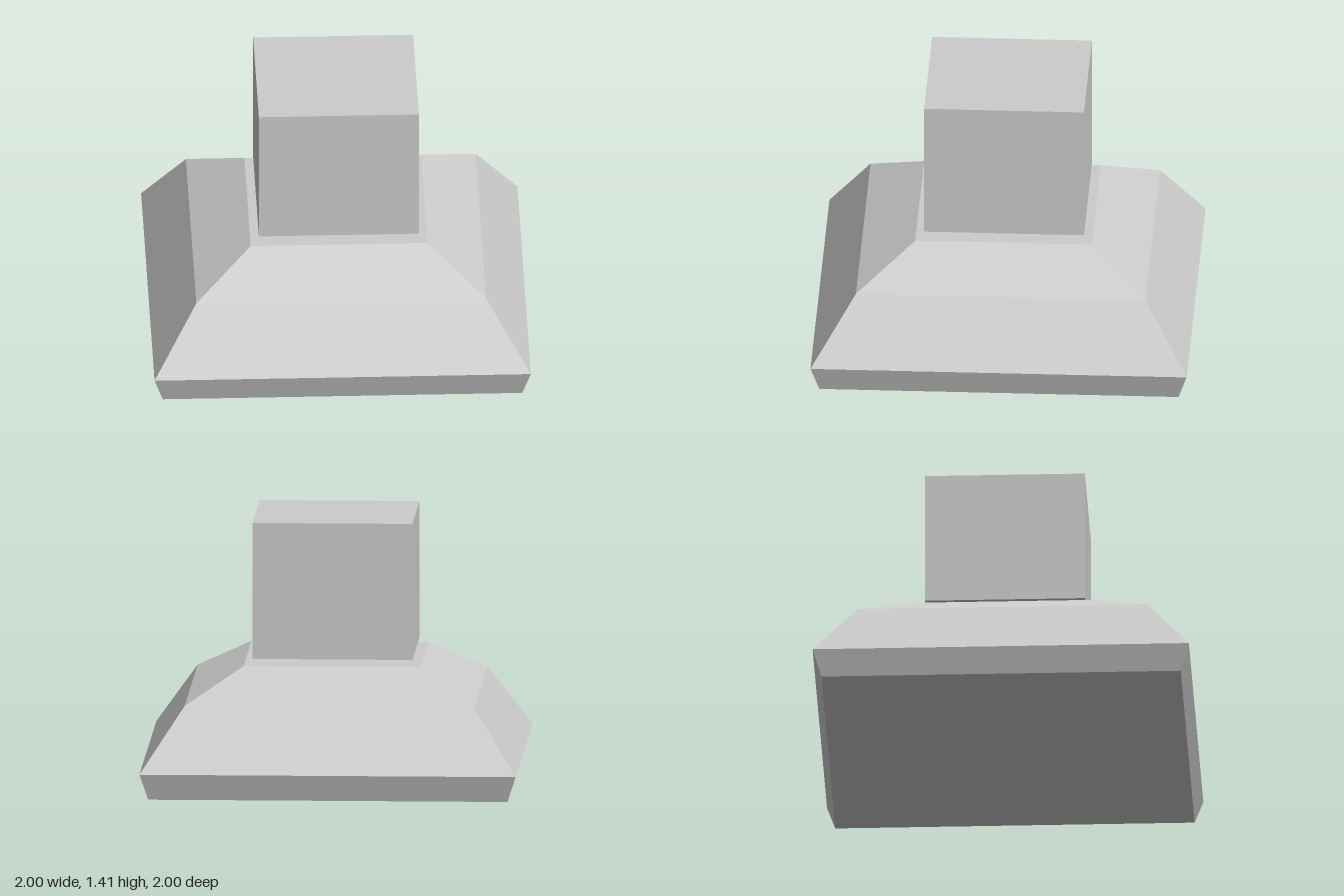
import * as THREE from 'three';

export function createModel() {
  const group = new THREE.Group();
  const material = new THREE.MeshStandardMaterial({ color: 0xcccccc, flatShading: true });

  // Square stepped base: half-width and height of each level, closed on the axis
  const levels = [[0, 0], [0.955, 0], [1, 0.14], [0.77, 0.477], [0.47, 0.65], [0, 0.65]];
  const profile = levels.map(([half, y]) => new THREE.Vector2(half * Math.SQRT2, y));
  const baseGeometry = new THREE.LatheGeometry(profile, 4, Math.PI / 4).toNonIndexed();
  baseGeometry.computeVertexNormals();
  const base = new THREE.Mesh(baseGeometry, material);
  base.name = 'base';
  group.add(base);

  // Square block hovering just above the base
  const bottom = 0.682, top = 1.412;
  const block = new THREE.Mesh(new THREE.BoxGeometry(0.85, top - bottom, 0.85), material);
  block.name = 'upperBlock';
  block.position.y = (bottom + top) / 2;
  group.add(block);

  return group;
}
